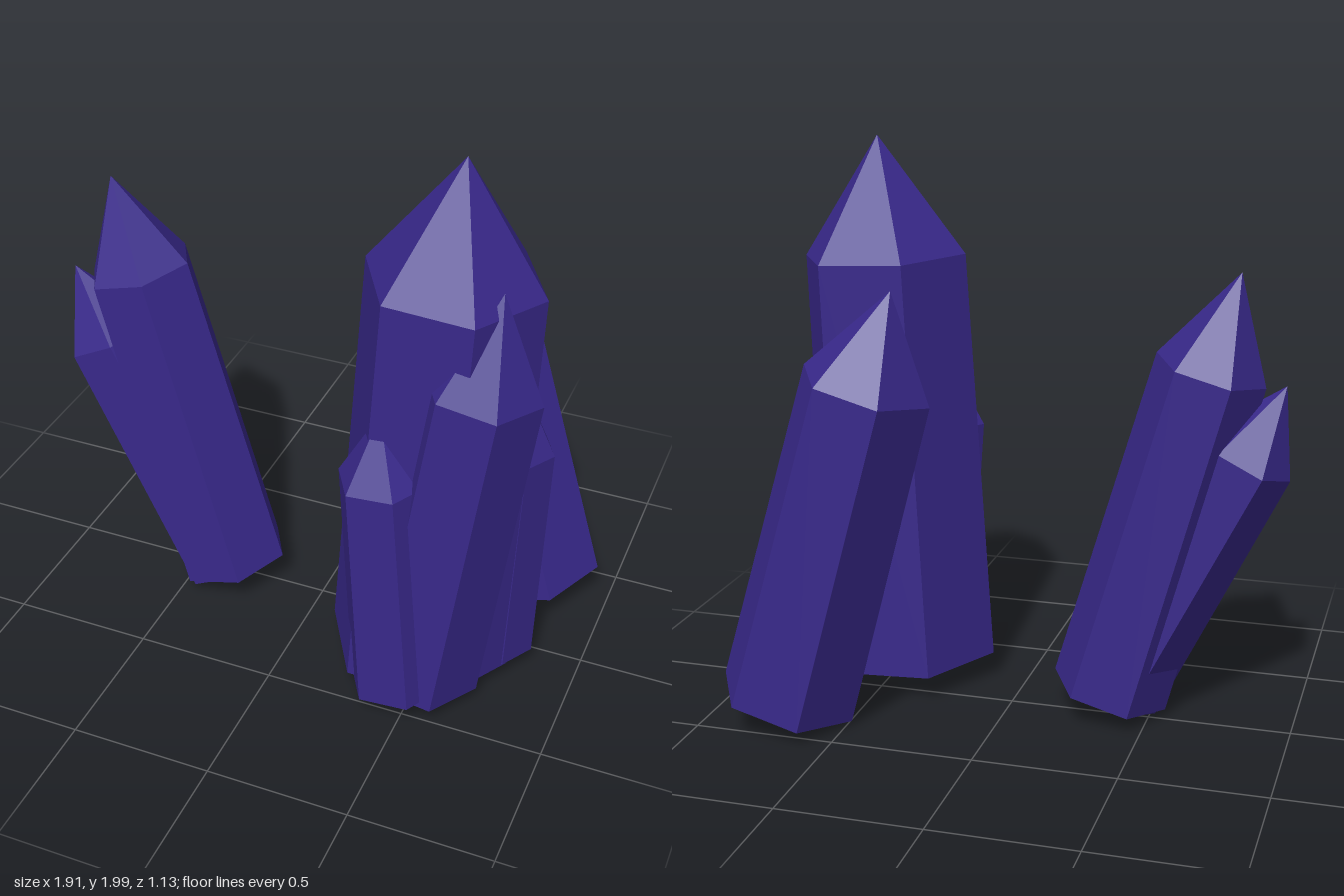
import * as THREE from 'three';

const material = new THREE.MeshStandardMaterial({ color: 0x38288a, flatShading: true });

// Six-sided crystal: slightly tapered shaft with a pointed cap, running from base to tip.
function crystal(name, [baseX, baseY], [tipX, tipY], z, radius) {
  const dx = tipX - baseX, dy = tipY - baseY;
  const length = Math.hypot(dx, dy);
  const profile = [
    new THREE.Vector2(0, 0),
    new THREE.Vector2(radius, 0),
    new THREE.Vector2(radius * 0.925, length * 0.78),
    new THREE.Vector2(0, length),
  ];
  const geometry = new THREE.LatheGeometry(profile, 6);
  geometry.rotateY(Math.PI / 6); // a corner points along x
  const mesh = new THREE.Mesh(geometry, material);
  mesh.name = name;
  mesh.position.set(baseX, baseY, z);
  mesh.rotation.z = -Math.atan2(dx, dy);
  return mesh;
}

export function createModel() {
  const model = new THREE.Group();
  model.name = 'crystalCluster';

  // Large cluster
  const large = new THREE.Group();
  large.name = 'largeCluster';
  large.add(
    crystal('mainCrystal', [0.45, 0.09], [0.545, 2.0], 0.19, 0.325),
    crystal('backLeaningCrystal', [0.718, 0.09], [0.31, 1.555], -0.353, 0.246),
    crystal('frontLeaningCrystal', [0.5, 0.085], [0.725, 1.645], 0.33, 0.215),
    crystal('frontShortCrystal', [0.455, 0.09], [0.368, 1.17], 0.415, 0.173),
    crystal('sideShortCrystal', [0.7, 0.085], [0.745, 1.17], 0.09, 0.137),
  );

  // Small leaning cluster
  const small = new THREE.Group();
  small.name = 'smallCluster';
  small.add(
    crystal('tallLeaningCrystal', [-0.355, 0.09], [-0.775, 1.605], 0.02, 0.208),
    crystal('shortLeaningCrystal', [-0.355, 0.09], [-0.935, 1.23], 0.037, 0.182),
  );

  model.add(large, small);
  return model;
}
